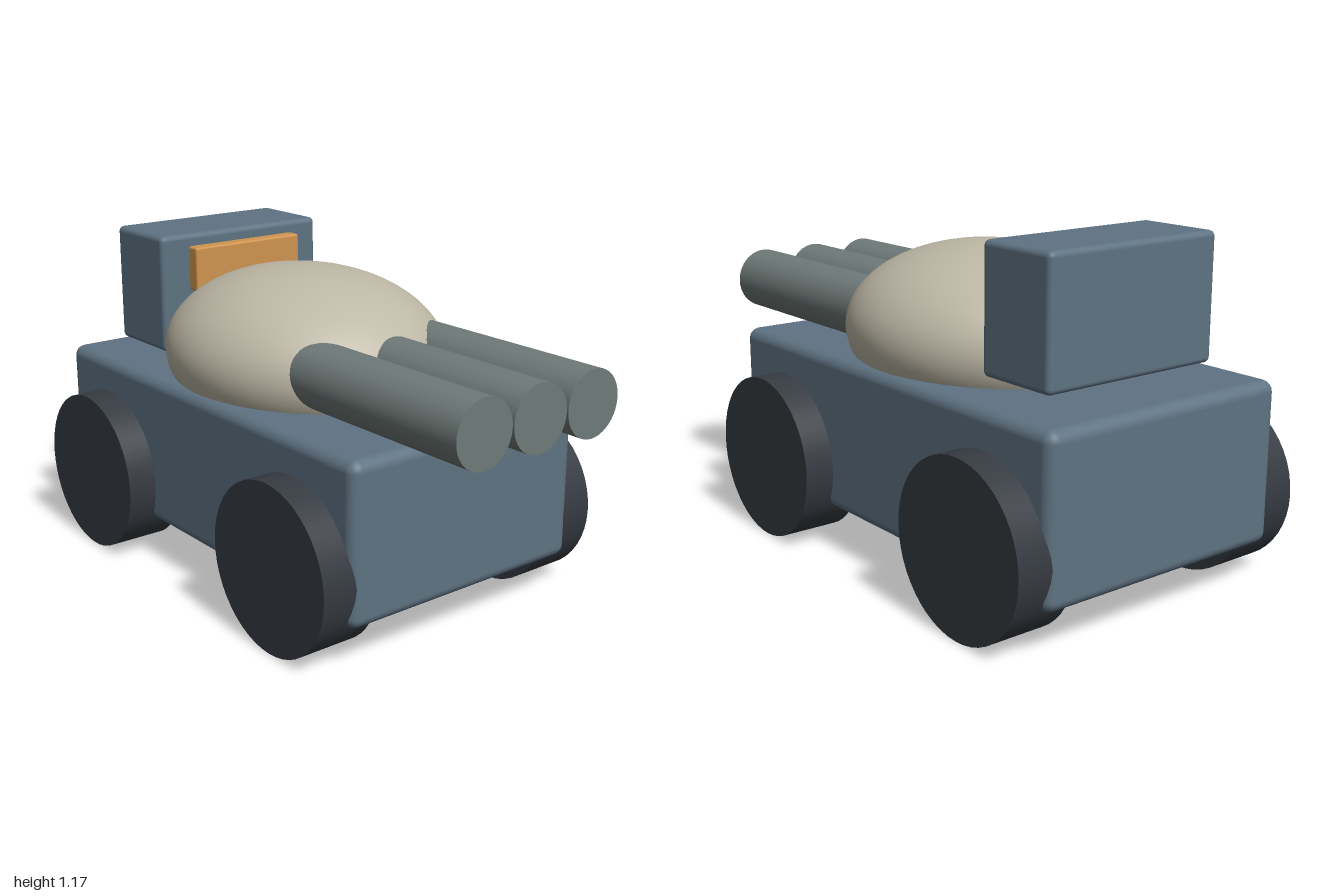
import * as THREE from 'three';
import { RoundedBoxGeometry } from 'three/addons/geometries/RoundedBoxGeometry.js';

const paint = (name, color) => {
  const m = new THREE.MeshStandardMaterial({ color });
  m.name = name;
  return m;
};

export function createModel() {
  const model = new THREE.Group();
  model.name = 'threeBarrelVehicle';
  const blue = paint('slateBlue', 0x5f7383);
  const stone = paint('stone', 0xbeb8a6);
  const steel = paint('steelGrey', 0x6f7a78);
  const rubber = paint('darkRubber', 0x363b42);
  const orange = paint('orange', 0xd0954f);

  const add = (name, geometry, material, x, y, z) => {
    const mesh = new THREE.Mesh(geometry, material);
    mesh.name = name;
    mesh.position.set(x, y, z);
    model.add(mesh);
    return mesh;
  };

  // Hull, raised rear cabin and its front visor
  add('hull', new RoundedBoxGeometry(0.956, 0.55, 1.715, 4, 0.04), blue, 0, 0.425, -0.1425);
  add('cabin', new RoundedBoxGeometry(0.69, 0.425, 0.31, 4, 0.02), blue, 0, 0.9575, -0.682);
  add('visor', new RoundedBoxGeometry(0.46, 0.16, 0.07, 3, 0.008), orange, 0, 1.045, -0.514);

  // Flattened turret dome
  const dome = new THREE.SphereGeometry(1, 48, 32).scale(0.472, 0.3, 0.55);
  add('turretDome', dome, stone, 0, 0.788, -0.145);

  // Three barrels side by side
  const barrel = new THREE.CylinderGeometry(0.112, 0.112, 0.9, 40).rotateX(Math.PI / 2);
  for (const x of [-0.23, 0, 0.23]) add('barrel', barrel, steel, x, 0.818, 0.55);

  // Four wheels, set partly into the hull
  const wheel = new THREE.CylinderGeometry(0.29, 0.29, 0.215, 48).rotateZ(Math.PI / 2);
  for (const side of [-1, 1]) {
    for (const z of [0.42, -0.705]) add('wheel', wheel, rubber, side * 0.476, 0.29, z);
  }
  return model;
}
